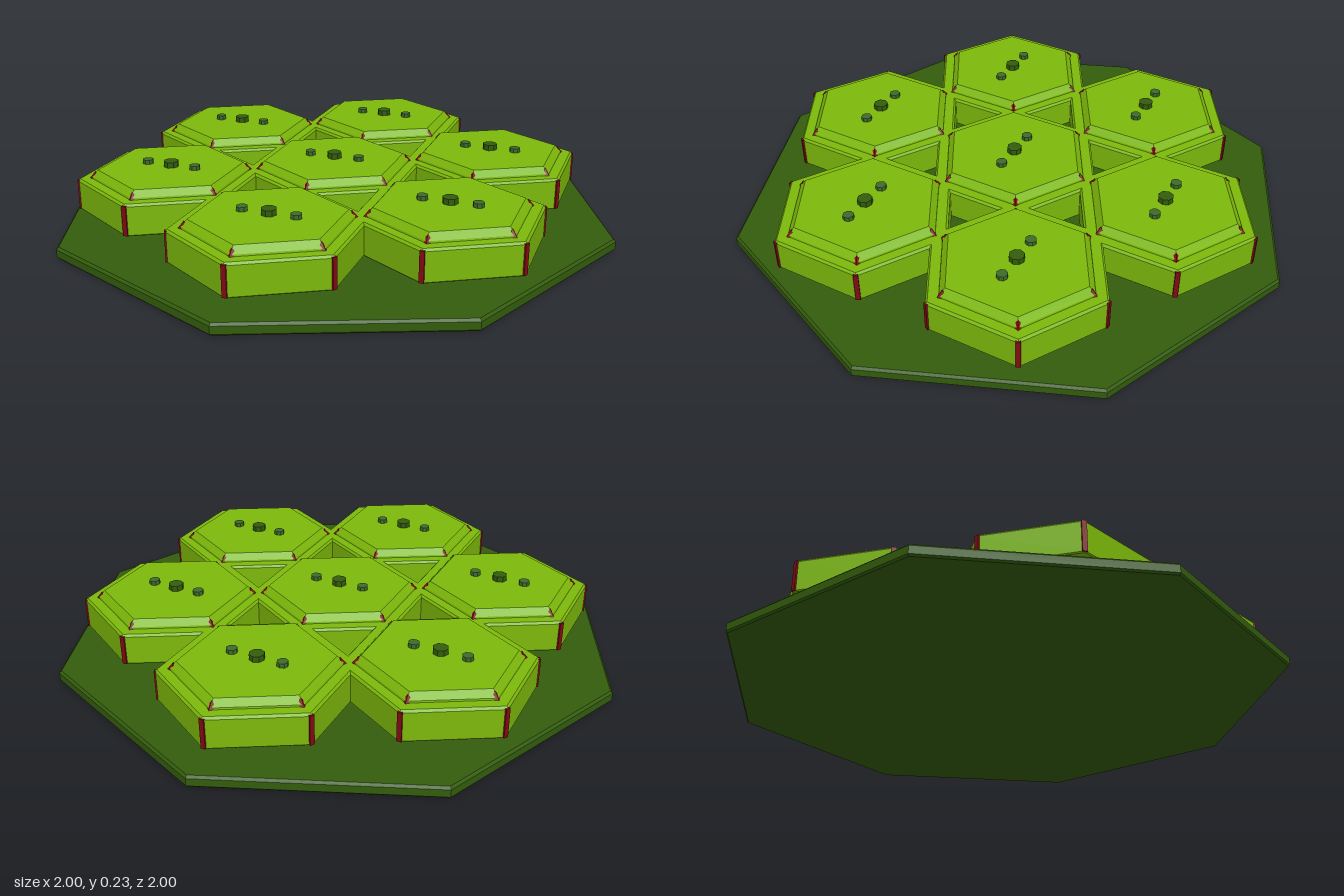
import * as THREE from 'three';

const mat = (name, color) => {
  const m = new THREE.MeshStandardMaterial({ color });
  m.name = name;
  m.flatShading = true;
  return m;
};

export function createModel() {
  const group = new THREE.Group();
  group.name = 'hexTilePlate';

  const lime = mat('limeGreen', 0x7cb80a);
  const dark = mat('darkGreen', 0x335c0c);
  const moss = mat('mossGreen', 0x3f6b2a);
  const red = mat('darkRed', 0x800a14);

  const add = (parent, name, geometry, material, x = 0, y = 0, z = 0) => {
    const mesh = new THREE.Mesh(geometry, material);
    mesh.name = name;
    mesh.position.set(x, y, z);
    parent.add(mesh);
    return mesh;
  };
  // Faceted solid from a closed radius/height profile, bottom to top
  const prism = (points, sides) =>
    new THREE.LatheGeometry(points.map(([r, y]) => new THREE.Vector2(r, y)), sides).toNonIndexed();

  // Octagonal base with a small chamfer
  add(group, 'base', prism([[0, 0], [0.994, 0], [1, 0.006], [1, 0.032], [0.992, 0.04], [0, 0.04]], 8), dark);

  // Support pins in the gaps between tiles
  const pin = new THREE.CylinderGeometry(0.021, 0.021, 0.04, 8);
  for (let i = 0; i < 6; i++) {
    const a = (i * Math.PI) / 3;
    add(group, 'supportPin', pin, dark, Math.cos(a) * 0.335, 0.05, Math.sin(a) * 0.335);
  }

  // Shared tile geometry
  const R = 0.322;
  const bodyGeo = prism([[0, 0.07], [R - 0.004, 0.07], [R, 0.074], [R, 0.174], [R - 0.008, 0.182], [0, 0.182]], 6);
  const deckGeo = prism([[0, 0.18], [0.276, 0.18], [0.274, 0.188], [0.252, 0.21], [0, 0.21]], 6);
  const stripGeo = new THREE.BoxGeometry(0.016, 0.104, 0.008);
  const markGeo = new THREE.ConeGeometry(0.02, 0.025, 4);
  const studGeo = new THREE.CylinderGeometry(0.026, 0.026, 0.03, 8);
  const smallStudGeo = new THREE.CylinderGeometry(0.019, 0.019, 0.024, 8);

  const makeTile = (x, z) => {
    const tile = new THREE.Group();
    tile.name = 'hexTile';
    tile.position.set(x, 0, z);
    add(tile, 'tileBody', bodyGeo, lime);
    add(tile, 'tileDeck', deckGeo, lime);

    // Red edge strips and corner marks
    for (let i = 0; i < 6; i++) {
      const corner = new THREE.Group();
      corner.name = 'cornerTrim';
      corner.rotation.y = (i * Math.PI) / 3;
      add(corner, 'edgeStrip', stripGeo, red, 0, 0.125, R - 0.003);
      add(corner, 'cornerMark', markGeo, red, 0, 0.194, 0.261);
      tile.add(corner);
    }

    // Studs on top
    add(tile, 'centreStud', studGeo, dark, 0, 0.215, 0);
    for (const s of [-1, 1]) add(tile, 'sideStud', smallStudGeo, moss, s * 0.092, 0.213, 0);
    group.add(tile);
  };

  // One central tile and a ring of six
  makeTile(0, 0);
  for (let i = 0; i < 6; i++) {
    const a = (i * Math.PI) / 3;
    makeTile(Math.sin(a) * 0.579, Math.cos(a) * 0.579);
  }
  return group;
}
